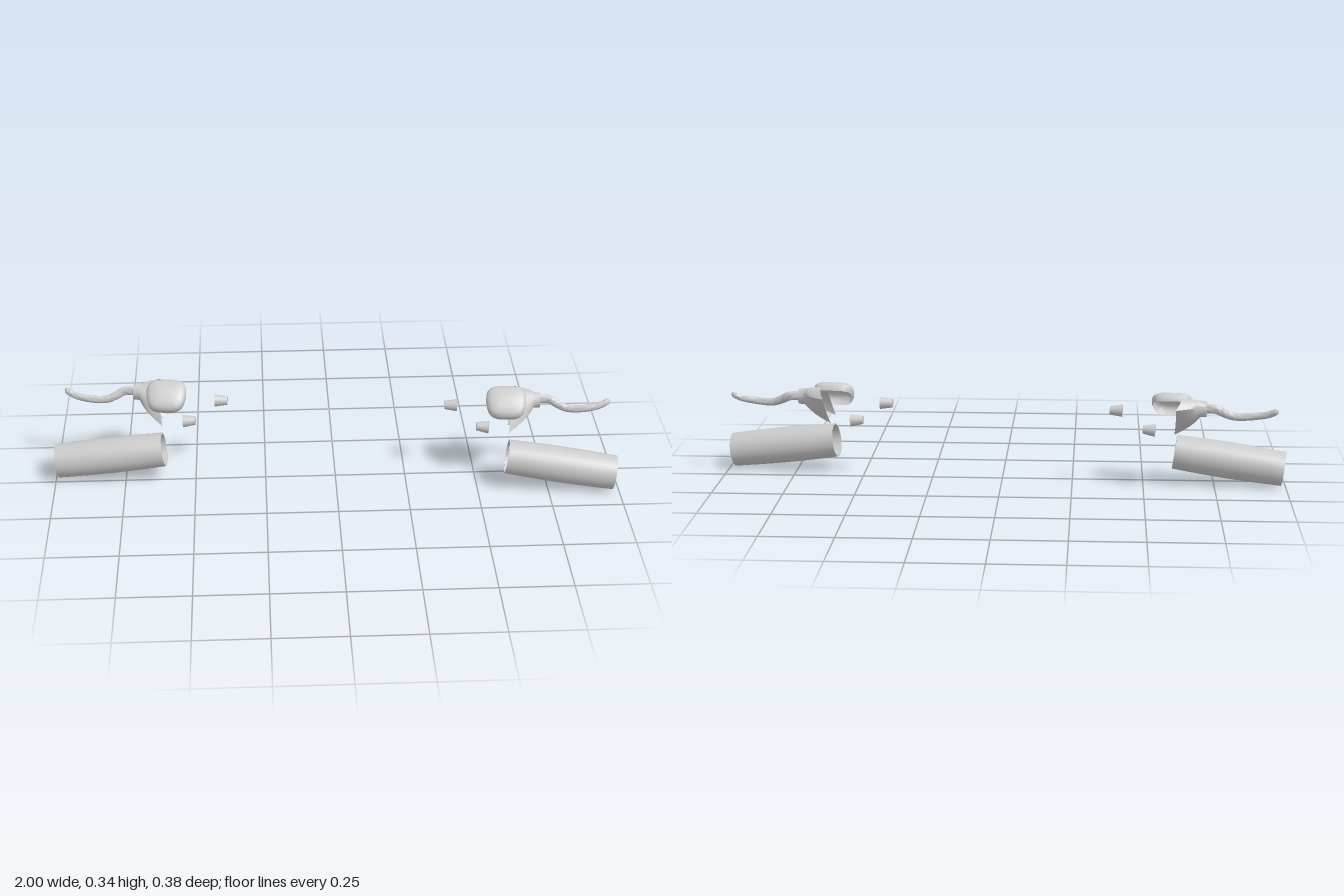
import * as THREE from 'three';
import { toCreasedNormals } from 'three/addons/utils/BufferGeometryUtils.js';

const V = (x, y, z) => new THREE.Vector3(x, y, z);
const material = new THREE.MeshStandardMaterial({ color: 0xcccccc, side: THREE.DoubleSide });

function part(name, geometry) {
  const mesh = new THREE.Mesh(geometry, material);
  mesh.name = name;
  return mesh;
}

// Skin over a row of closed rings with equal point counts
function loft(rings, capEnd = false, crease = 0.6) {
  const n = rings[0].length, index = [];
  const points = rings.flat();
  for (let i = 0; i < rings.length - 1; i++) {
    for (let j = 0; j < n; j++) {
      const a = i * n + j, b = i * n + (j + 1) % n;
      index.push(a, b, a + n, b, b + n, a + n);
    }
  }
  if (capEnd) {
    const last = rings[rings.length - 1], start = (rings.length - 1) * n;
    const centre = last.reduce((s, p) => s.add(p), V(0, 0, 0)).divideScalar(n);
    points.push(centre);
    for (let j = 0; j < n; j++) index.push(start + j, start + (j + 1) % n, points.length - 1);
  }
  const g = new THREE.BufferGeometry().setFromPoints(points);
  g.setIndex(index);
  return toCreasedNormals(g, crease);
}

// Place a geometry made along +y so that its base sits at a and it points to b
function along(mesh, a, b) {
  mesh.position.copy(a);
  mesh.quaternion.setFromUnitVectors(V(0, 1, 0), b.clone().sub(a).normalize());
  return mesh;
}

// Hollow, slightly barrelled handlebar grip
function makeGrip() {
  const a = V(0.61, 0.118, 0.032), b = V(0.993, 0.067, 0.041);
  const len = a.distanceTo(b), profile = [];
  for (let i = 0; i <= 8; i++) {
    const t = i / 8;
    profile.push(new THREE.Vector2(0.0605 + 0.004 * Math.sin(Math.PI * t), t * len));
  }
  profile.push(new THREE.Vector2(0.056, len), new THREE.Vector2(0.056, 0), profile[0].clone());
  const g = toCreasedNormals(new THREE.LatheGeometry(profile, 28), 0.6);
  return along(part('grip', g), a, b);
}

// Small tapered plug, narrow end inward
function makePlug(name, x, y, z, tilt) {
  const g = new THREE.CylinderGeometry(0.015, 0.022, 0.044, 16);
  const mesh = part(name, g);
  mesh.rotation.z = Math.PI / 2 + tilt;
  mesh.position.set(x, y, z);
  return mesh;
}

// Flared perch: four curved base edges drawn together into an oval lever socket
function makePerch() {
  const edges = [
    [V(0.612, 0.212, 0.03), V(0.64, 0.229, -0.008), V(0.612, 0.2, -0.05)],
    [V(0.612, 0.2, -0.05), V(0.62, 0.25, -0.092), V(0.62, 0.305, -0.133)],
    [V(0.62, 0.305, -0.133), V(0.65, 0.352, -0.095), V(0.625, 0.33, -0.045)],
    [V(0.625, 0.33, -0.045), V(0.625, 0.28, 0), V(0.612, 0.212, 0.03)],
  ];
  const base = edges.flatMap(([p, q, r]) => {
    const c = new THREE.QuadraticBezierCurve3(p, q, r);
    return [0, 1, 2, 3, 4, 5].map((k) => c.getPoint(k / 6));
  });
  const oval = (x, ry, rz) => base.map((p) => {
    const angle = Math.atan2(p.y - 0.27, p.z + 0.05);
    return V(x, 0.298 + ry * Math.sin(angle), -0.06 + rz * Math.cos(angle));
  });
  const neck = oval(0.7, 0.029, 0.024);
  const rings = [0, 0.25, 0.5, 0.75, 1].map((t) => base.map((p, j) => {
    const q = p.clone().lerp(neck[j], t);
    q.x += 0.012 * Math.sin(Math.PI * t);
    return q;
  }));
  rings.push(oval(0.722, 0.027, 0.022), oval(0.724, 0.016, 0.013));
  return part('leverPerch', loft(rings, true, 0.7));
}

// Cranked brake lever with an oval section and a rounded tip
function makeLever() {
  const path = new THREE.CatmullRomCurve3([
    V(0.705, 0.301, -0.062), V(0.757, 0.298, -0.066), V(0.785, 0.284, -0.058),
    V(0.82, 0.272, -0.051), V(0.89, 0.275, -0.049), V(0.94, 0.286, -0.057), V(0.968, 0.302, -0.066),
  ]);
  const rings = [], steps = 30;
  for (let i = 0; i <= steps; i++) {
    const t = i / steps, c = path.getPoint(t), tangent = path.getTangent(t);
    const side = V(0, 0, 1).cross(tangent).normalize();
    const depth = tangent.clone().cross(side);
    const end = t > 0.94 ? Math.sqrt(Math.max(0.1, 1 - ((t - 0.94) / 0.06) ** 2)) : 1;
    const ry = (0.017 - 0.006 * t) * end, rz = (0.012 - 0.002 * t) * end;
    rings.push(Array.from({ length: 12 }, (_, j) => {
      const a = j / 12 * Math.PI * 2;
      return c.clone().addScaledVector(side, ry * Math.cos(a)).addScaledVector(depth, rz * Math.sin(a));
    }));
  }
  return part('lever', loft(rings, true, 1));
}

// Domed control cap, open underneath, leaning forward
function makeCap() {
  const ring = (s, h) => Array.from({ length: 32 }, (_, j) => {
    const a = j / 32 * Math.PI * 2, c = Math.cos(a), d = Math.sin(a);
    const z = Math.sign(d) * Math.abs(d) ** 0.6 * 0.061 * s;
    const x = Math.sign(c) * Math.abs(c) ** 0.6 * 0.07 * s * (1 - 1.8 * Math.max(0, z));
    return V(x, h - 2 * z * z, z);
  });
  const g = loft([ring(0.95, -0.004), ring(1, 0.004), ring(1, 0.018), ring(0.95, 0.026),
    ring(0.8, 0.032), ring(0.45, 0.036)], true, 0.7);
  const mesh = part('controlCap', g);
  mesh.rotation.x = 0.68;
  mesh.position.set(0.601, 0.298, -0.03);
  return mesh;
}

function makeSide(name) {
  const side = new THREE.Group();
  side.name = name;
  side.add(
    makeGrip(), makePerch(), makeLever(), makeCap(),
    makePlug('upperPlug', 0.408, 0.279, -0.045, 0),
    makePlug('lowerPlug', 0.522, 0.207, -0.021, -0.08),
  );
  return side;
}

export function createModel() {
  const model = new THREE.Group();
  model.name = 'handlebarControls';
  // Both sides are mirrored, then steered slightly
  const bar = new THREE.Group();
  bar.name = 'steeredBar';
  const left = makeSide('leftControls');
  const right = makeSide('rightControls');
  right.scale.x = -1;
  bar.add(left, right);
  bar.rotation.y = -0.089;
  model.add(bar);
  return model;
}
